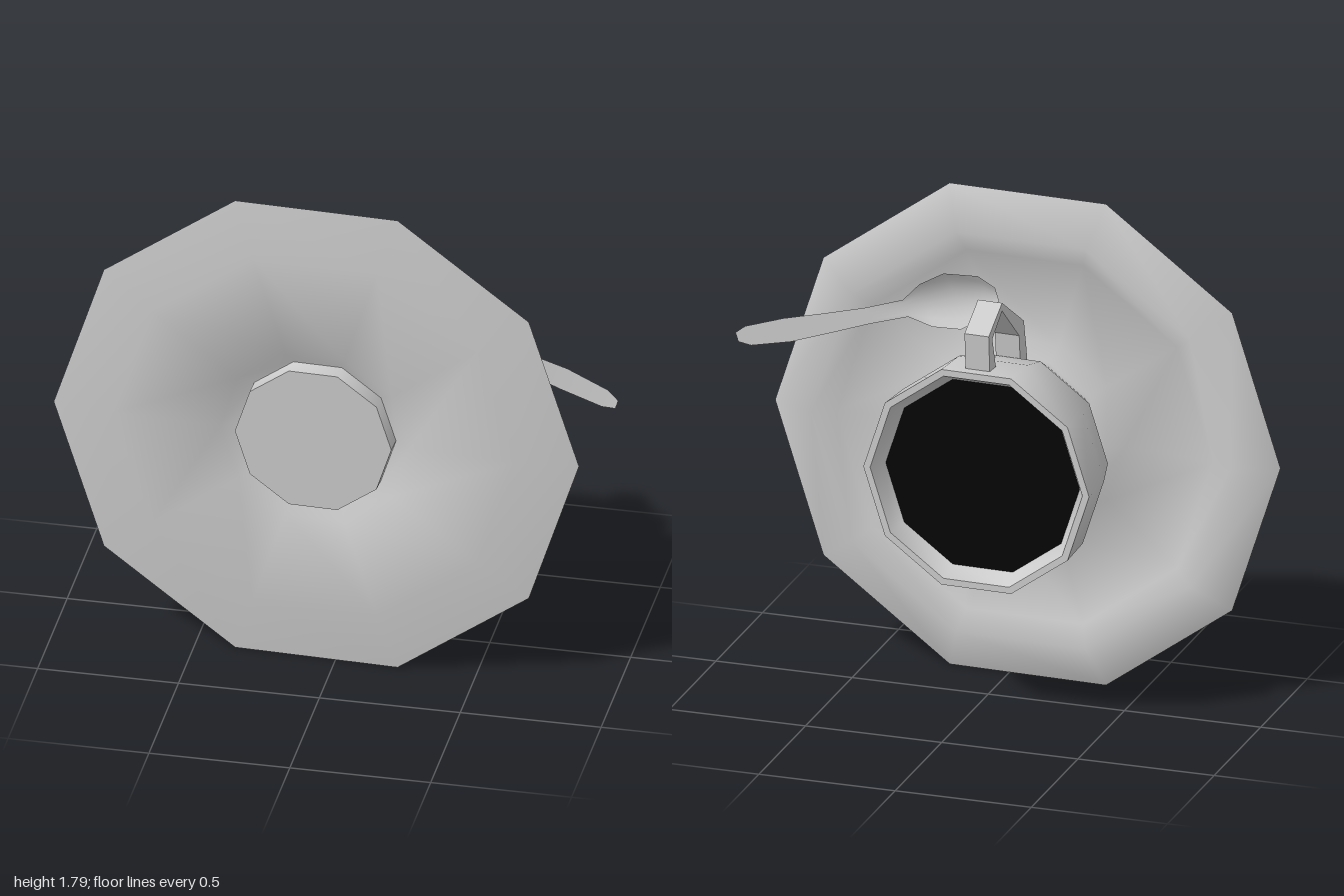
import * as THREE from 'three';
import { toCreasedNormals } from 'three/addons/utils/BufferGeometryUtils.js';

const grey = new THREE.MeshStandardMaterial({ color: 0xcccccc });
const greyThin = new THREE.MeshStandardMaterial({ color: 0xcccccc, side: THREE.DoubleSide });
const black = new THREE.MeshStandardMaterial({ color: 0x050505 });
const SIDES = 10;

function part(name, geometry, material = grey) {
  const mesh = new THREE.Mesh(geometry, material);
  mesh.name = name;
  return mesh;
}

// Ten-sided turned body with a corner on the x axis
function turned(profile) {
  const points = profile.map(([r, y]) => new THREE.Vector2(r, y));
  return toCreasedNormals(new THREE.LatheGeometry(points, SIDES, Math.PI / 2), 0.95);
}

// Angular handle: a bent outline in (outward, up), extruded across its width
function handleGeometry() {
  const outline = [
    [0.27, -0.14], [0.36, -0.125], [0.47, -0.10], [0.61, 0.11], [0.53, 0.24], [0.39, 0.23],
    [0.39, 0.17], [0.51, 0.205], [0.58, 0.11], [0.43, -0.055], [0.33, -0.065],
  ].map(([a, b]) => new THREE.Vector2(a, b));
  const width = 0.09;
  const geo = new THREE.ExtrudeGeometry(new THREE.Shape(outline), { depth: width, bevelEnabled: false });
  geo.translate(0, 0, -width / 2);
  geo.rotateY(-Math.PI / 2);
  return geo;
}

// Thin spoon: rows across its length as [x, half width, z, bowl depth]
function spoonGeometry() {
  const rows = [
    [0.01, 0.025, 0.122, 0], [0.06, 0.075, 0.128, 0.025], [0.18, 0.105, 0.138, 0.04],
    [0.28, 0.08, 0.15, 0.025], [0.36, 0.032, 0.165, 0], [0.5, 0.03, 0.163, 0],
    [0.65, 0.037, 0.167, 0], [0.8, 0.044, 0.178, 0], [0.95, 0.036, 0.2, 0], [0.995, 0.017, 0.211, 0],
  ];
  const across = 6;
  const positions = [];
  const index = [];
  rows.forEach(([x, half, z, depth], i) => {
    const y = 1.45 - 0.317 * x;
    for (let j = 0; j <= across; j++) {
      const w = (j / across) * 2 - 1;
      positions.push(x + 0.3 * half * w, y + 0.954 * half * w, z + depth * (1 - w * w));
      if (i > 0 && j > 0) {
        const b = i * (across + 1) + j;
        const a = b - across - 1;
        index.push(a - 1, a, b, a - 1, b, b - 1);
      }
    }
  });
  const geo = new THREE.BufferGeometry();
  geo.setAttribute('position', new THREE.Float32BufferAttribute(positions, 3));
  geo.setIndex(index);
  geo.computeVertexNormals();
  return geo;
}

export function createModel() {
  const model = new THREE.Group();
  model.name = 'cupAndSaucer';

  // Cup and saucer share one axis, laid over so the cup opens toward the back
  const crockery = new THREE.Group();
  crockery.name = 'crockery';
  crockery.rotation.set(-Math.PI / 2, -0.037, 0, 'YXZ');
  crockery.position.set(-0.06, 0.9, 0);
  model.add(crockery);

  // Saucer: raised ring round the foot, shallow floor, crest and sloping rim
  crockery.add(part('saucer', turned([
    [0.27, -0.205], [0.285, -0.205], [0.34, -0.25], [0.72, -0.25], [0.94, -0.225],
    [0.78, -0.155], [0.7, -0.195], [0.36, -0.235], [0.305, -0.19], [0.27, -0.19], [0.27, -0.205],
  ])));

  // Cup: foot, rounded wall and bevelled lip
  crockery.add(part('cup', turned([
    [0, -0.272], [0.28, -0.272], [0.28, -0.205], [0.29, -0.185], [0.363, -0.055],
    [0.412, 0.11], [0.42, 0.275], [0.395, 0.275], [0.36, 0.21],
  ])));

  // Dark drink filling the cup
  const drink = part('drink', new THREE.CircleGeometry(0.361, SIDES), black);
  drink.rotation.x = -Math.PI / 2;
  drink.position.y = 0.212;
  crockery.add(drink);

  const handle = part('handle', handleGeometry());
  handle.position.x = 0.012;
  crockery.add(handle);

  // Spoon lying across the saucer rim
  model.add(part('spoon', spoonGeometry(), greyThin));
  return model;
}
